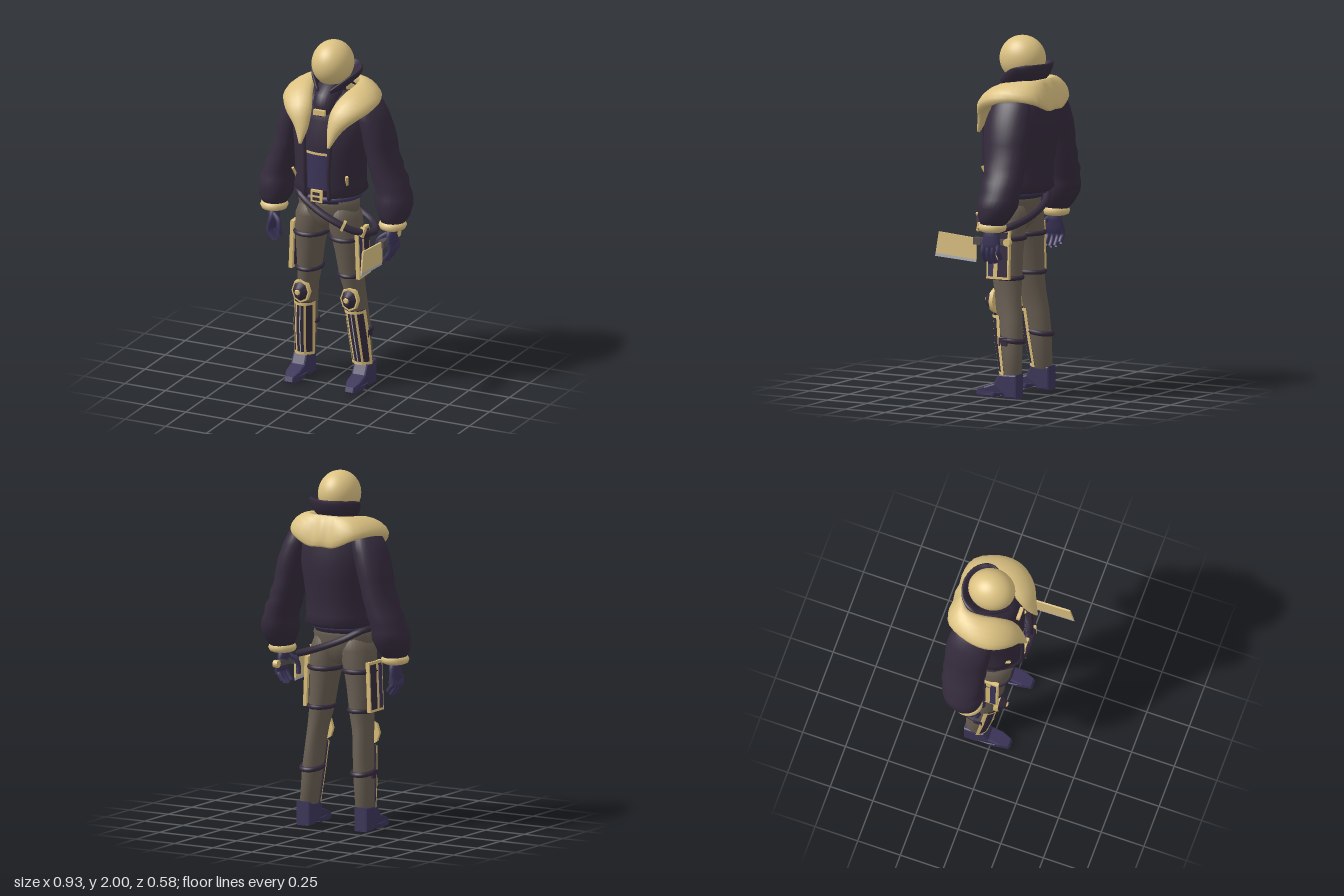
import * as THREE from 'three';

const mat = (name, color, side = THREE.FrontSide) => {
  const m = new THREE.MeshStandardMaterial({ color, side });
  m.name = name;
  return m;
};
const V = (x, y, z) => new THREE.Vector3(x, y, z);
const TAU = Math.PI * 2, FRONT = Math.PI / 2;

// Skin a list of point rings; closed rings get end caps.
function skin(rings, closed = true) {
  const n = rings[0].length, pos = [], idx = [];
  rings.forEach(r => r.forEach(p => pos.push(p.x, p.y, p.z)));
  for (let i = 0; i < rings.length - 1; i++)
    for (let j = 0; j < (closed ? n : n - 1); j++) {
      const a = i * n + j, b = i * n + (j + 1) % n, c = a + n, d = b + n;
      idx.push(a, c, b, b, c, d);
    }
  if (closed) [0, rings.length - 1].forEach((k, end) => {
    const c = rings[k].reduce((s, p) => s.add(p), V(0, 0, 0)).divideScalar(n);
    const ci = pos.length / 3;
    pos.push(c.x, c.y, c.z);
    for (let j = 0; j < n; j++) {
      const a = k * n + j, b = k * n + (j + 1) % n;
      end ? idx.push(ci, b, a) : idx.push(ci, a, b);
    }
  });
  const g = new THREE.BufferGeometry();
  g.setAttribute('position', new THREE.Float32BufferAttribute(pos, 3));
  g.setIndex(idx);
  g.computeVertexNormals();
  return g;
}

// Stack of horizontal ellipses [cx, y, cz, rx, rz], lowest first; an arc range leaves it open.
function loft(sections, s = 1, t0 = 0, t1 = TAU, grow = 0) {
  const closed = t1 - t0 > TAU - 0.001, n = closed ? 28 : Math.max(4, Math.ceil((t1 - t0) * 6));
  return skin(sections.map(([cx, y, cz, rx, rz]) =>
    Array.from({ length: closed ? n : n + 1 }, (_, j) => {
      const t = t0 + (t1 - t0) * j / n;
      return V(s * cx + (rx + grow) * Math.cos(t), y, cz + (rz + grow) * Math.sin(t));
    })), closed);
}

// Mirrored collar: stations of inner point, outer point, half thickness, from left front to back centre.
function collar(stations, steps) {
  const all = [...stations.map(q => [...q]), ...stations.slice(0, -1).reverse()
    .map(q => [-q[0], q[1], q[2], -q[3], q[4], q[5], q[6]])];
  const curve = f => new THREE.CatmullRomCurve3(all.map(f));
  const I = curve(q => V(q[0], q[1], q[2])), O = curve(q => V(q[3], q[4], q[5])), T = curve(q => V(q[6], 0, 0));
  const mid = t => I.getPoint(t).add(O.getPoint(t)).multiplyScalar(0.5);
  return skin(Array.from({ length: steps + 1 }, (_, i) => {
    const t = i / steps, c = mid(t), u = O.getPoint(t).sub(I.getPoint(t)).multiplyScalar(0.5);
    const w = mid(Math.min(1, t + 0.01)).sub(mid(Math.max(0, t - 0.01)));
    const v = u.clone().cross(w).normalize().multiplyScalar(T.getPoint(t).x);
    return Array.from({ length: 14 }, (_, j) => c.clone()
      .addScaledVector(u, Math.cos(j / 14 * TAU)).addScaledVector(v, Math.sin(j / 14 * TAU)));
  }));
}

const tube = (pts, r, closed = false) => new THREE.TubeGeometry(
  new THREE.CatmullRomCurve3(pts.map(p => V(...p)), closed), closed ? 40 : 14, r, 8, closed);
const ring = (cx, y, cz, rx, rz, r, tilt = 0) => tube(Array.from({ length: 12 }, (_, i) => {
  const a = i / 12 * TAU;
  return [cx + rx * Math.cos(a), y + tilt * Math.sin(a), cz + rz * Math.sin(a)];
}), r, true);

// Side outline in (z, y), extruded across x.
function sidePlate(points, width, bevel = 0) {
  const g = new THREE.ExtrudeGeometry(new THREE.Shape(points.map(p => new THREE.Vector2(...p))), {
    depth: width, bevelEnabled: bevel > 0, bevelSize: bevel, bevelThickness: bevel, bevelOffset: -bevel, bevelSegments: 2 });
  return g.translate(0, 0, -width / 2).rotateY(-Math.PI / 2);
}

export function createModel() {
  const root = new THREE.Group();
  root.name = 'figure';
  const tan = mat('tan fur and trim', 0xdcc282), dark = mat('dark jacket', 0x352b3d, THREE.DoubleSide);
  const navy = mat('navy leather', 0x3c3559, THREE.DoubleSide), brown = mat('brown trousers', 0x685e52);
  const trim = mat('tan plate trim', 0xdcc07a, THREE.DoubleSide);
  const silver = mat('silver edge', 0xb4b4bc, THREE.DoubleSide), grey = mat('grey handle', 0x56504f);
  const add = (name, g, m, p = [0, 0, 0], r = [0, 0, 0]) => {
    const o = new THREE.Mesh(g, m);
    o.name = name;
    o.position.set(...p);
    o.rotation.set(...r);
    root.add(o);
    return o;
  };
  const box = (name, w, h, d, m, p, r) => add(name, new THREE.BoxGeometry(w, h, d), m, p, r);

  // Head, neck and collars
  add('head', new THREE.SphereGeometry(1, 40, 28), tan, [0, 1.872, -0.07]).scale.set(0.115, 0.128, 0.132);
  add('neck', loft([[0, 1.58, -0.04, 0.1, 0.13], [0, 1.66, -0.035, 0.085, 0.12], [0, 1.72, -0.04, 0.08, 0.11],
    [0, 1.78, -0.08, 0.07, 0.08]]), dark);
  add('standingCollar', collar([
    [0.03, 1.72, 0.04, 0.045, 1.755, 0.045, 0.008], [0.075, 1.74, -0.03, 0.115, 1.815, -0.04, 0.012],
    [0.085, 1.76, -0.12, 0.15, 1.845, -0.12, 0.014], [0.07, 1.76, -0.175, 0.105, 1.855, -0.2, 0.014],
    [0, 1.76, -0.19, 0, 1.855, -0.235, 0.014]], 36), dark);
  add('furCollar', collar([
    [0.08, 1.455, 0.162, 0.095, 1.455, 0.162, 0.008], [0.06, 1.54, 0.115, 0.14, 1.54, 0.13, 0.032],
    [0.06, 1.64, 0.075, 0.215, 1.61, 0.085, 0.045], [0.09, 1.71, 0.0, 0.268, 1.65, 0.0, 0.05],
    [0.12, 1.745, -0.1, 0.268, 1.665, -0.11, 0.045], [0.115, 1.765, -0.18, 0.2, 1.65, -0.245, 0.035],
    [0.065, 1.77, -0.215, 0.085, 1.6, -0.275, 0.028], [0, 1.77, -0.22, 0, 1.6, -0.275, 0.028]], 48), tan);
  box('neckClasp', 0.07, 0.03, 0.02, trim, [0, 1.63, 0.095]);

  // Shirt with front panel
  const shirt = [[0, 1.1, -0.03, 0.16, 0.14], [0, 1.3, -0.03, 0.16, 0.142], [0, 1.42, -0.03, 0.17, 0.142],
    [0, 1.58, -0.04, 0.16, 0.14], [0, 1.68, -0.06, 0.1, 0.11]];
  add('shirt', loft(shirt), dark);
  add('shirtPanel', loft([[0, 1.18, -0.03, 0.16, 0.141], [0, 1.39, -0.03, 0.168, 0.142]], 1, FRONT - 0.43, FRONT + 0.43, 0.006), navy);
  add('panelTrim', loft([[0, 1.387, -0.03, 0.168, 0.142], [0, 1.402, -0.03, 0.168, 0.142]], 1, FRONT - 0.43, FRONT + 0.43, 0.009), trim);

  // Open jacket
  const jacket = [[0, 1.135, -0.045, 0.185, 0.17], [0, 1.155, -0.047, 0.21, 0.192], [0, 1.2, -0.045, 0.2, 0.19],
    [0, 1.3, -0.046, 0.2, 0.196], [0, 1.4, -0.056, 0.21, 0.203], [0, 1.5, -0.065, 0.225, 0.203],
    [0, 1.6, -0.08, 0.22, 0.18], [0, 1.68, -0.1, 0.18, 0.145], [0, 1.73, -0.11, 0.11, 0.1]];
  const gap = 0.38;
  add('jacket', loft(jacket, 1, FRONT + gap, FRONT + TAU - gap), dark);
  add('waistBelt', ring(0, 1.13, -0.03, 0.175, 0.15, 0.016), navy);
  box('buckle', 0.07, 0.07, 0.015, trim, [0, 1.15, 0.13]);
  [-0.015, 0.015].forEach(y => box('buckleSlot', 0.042, 0.016, 0.006, dark, [0, 1.15 + y, 0.139]));

  // Hips and slung belt
  add('hips', loft([[0, 0.915, -0.03, 0.03, 0.06], [0, 0.96, -0.03, 0.12, 0.1], [0, 1.02, -0.025, 0.175, 0.12],
    [0, 1.08, -0.025, 0.18, 0.125], [0, 1.16, -0.03, 0.17, 0.13]]), brown);
  add('slungBelt', tube([[-0.19, 1.13, -0.03], [-0.12, 1.14, 0.1], [0, 1.07, 0.132], [0.12, 1.01, 0.125], [0.21, 0.965, 0.09],
    [0.285, 0.94, 0.0], [0.24, 0.955, -0.1], [0.1, 1.0, -0.165], [-0.08, 1.07, -0.17], [-0.17, 1.12, -0.12]], 0.02, true), dark);
  [[0.155, 0.993, 0.112, 0.3], [0.245, 0.953, 0.058, 0.9]].forEach(([x, y, z, a]) =>
    box('beltLoop', 0.016, 0.05, 0.046, trim, [x, y, z], [0, a, -0.4]));

  const sleeve = [[0.365, 0.98, -0.08, 0.06, 0.065], [0.365, 1.03, -0.095, 0.09, 0.092], [0.36, 1.09, -0.108, 0.105, 0.116],
    [0.355, 1.14, -0.115, 0.1, 0.116], [0.343, 1.18, -0.12, 0.092, 0.112], [0.328, 1.23, -0.122, 0.096, 0.122],
    [0.312, 1.265, -0.122, 0.086, 0.116], [0.3, 1.31, -0.122, 0.09, 0.124], [0.283, 1.36, -0.122, 0.083, 0.12],
    [0.268, 1.43, -0.12, 0.088, 0.126], [0.25, 1.5, -0.118, 0.09, 0.128], [0.225, 1.58, -0.112, 0.088, 0.125],
    [0.2, 1.65, -0.11, 0.078, 0.11], [0.17, 1.7, -0.11, 0.04, 0.07]];
  const leg = [[0.18, 0.12, -0.097, 0.05, 0.058], [0.165, 0.32, -0.085, 0.054, 0.07], [0.154, 0.45, -0.072, 0.05, 0.077],
    [0.145, 0.55, -0.057, 0.054, 0.077], [0.13, 0.65, -0.045, 0.064, 0.085], [0.12, 0.8, -0.035, 0.078, 0.095],
    [0.11, 0.9, -0.03, 0.09, 0.105], [0.092, 1.0, -0.025, 0.1, 0.115], [0.08, 1.08, -0.025, 0.08, 0.1]];
  const shin = [[0.178, 0.13, -0.097, 0.05, 0.058], [0.168, 0.3, -0.078, 0.054, 0.072], [0.155, 0.46, -0.06, 0.052, 0.075]];
  const bootSide = [[-0.155, 0], [-0.08, 0], [-0.07, 0.018], [-0.02, 0.018], [-0.01, 0], [0.1, 0], [0.11, 0.015],
    [0.1, 0.042], [0.05, 0.06], [-0.01, 0.08], [-0.04, 0.135], [-0.155, 0.135]];

  for (const s of [1, -1]) {
    // Jacket edge and pocket
    add('jacketEdge', tube(jacket.slice(0, 7).map(([, y, cz, rx, rz]) =>
      [s * rx * Math.sin(gap), y, cz + rz * Math.cos(gap)]), 0.013), dark);
    box('pocketTrim', 0.014, 0.085, 0.014, trim, [s * 0.158, 1.24, 0.076], [0.65, s * 0.8, -s * 0.3]);

    // Sleeve, cuff and gloved hand
    add('sleeve', loft(sleeve, s), dark);
    add('furCuff', ring(s * 0.365, 0.975, -0.078, 0.052, 0.055, 0.026), tan);
    add('palm', loft([[0.365, 0.845, -0.07, 0.016, 0.045], [0.368, 0.88, -0.07, 0.024, 0.058],
      [0.36, 0.92, -0.07, 0.027, 0.05], [0.36, 0.97, -0.075, 0.032, 0.036]], s), navy);
    for (let i = 0; i < 4; i++) {
      const z = -0.024 - i * 0.031, drop = [0.01, 0, 0.005, 0.025][i];
      add('finger', tube([[s * 0.37, 0.88, z], [s * 0.375, 0.835, z], [s * 0.362, 0.80 + drop, z],
        [s * 0.342, 0.772 + drop, z]], 0.0135), navy);
    }
    add('thumb', tube([[s * 0.35, 0.93, -0.04], [s * 0.312, 0.9, -0.02], [s * 0.302, 0.865, -0.012], [s * 0.3, 0.82, -0.015]], 0.014), navy);

    // Trouser leg and straps
    add('trouserLeg', loft(leg, s), brown);
    add('upperThighStrap', ring(s * 0.111, 0.885, -0.03, 0.088, 0.104, 0.014), dark);
    add('lowerThighStrap', ring(s * 0.13, 0.665, -0.045, 0.066, 0.086, 0.013), dark);
    add('calfStrap', ring(s * 0.165, 0.325, -0.085, 0.055, 0.072, 0.015, 0.01), dark);
    box('calfBuckle', 0.02, 0.045, 0.05, dark, [s * 0.222, 0.315, -0.07]);

    // Thigh plate
    box('thighPlate', 0.022, 0.28, 0.14, trim, [s * 0.203, 0.8, -0.03], [0, 0, s * 0.04]);
    [0.018, -0.055].forEach((z, i) => box('thighInset', 0.008, 0.25, i ? 0.06 : 0.032, i ? dark : navy,
      [s * 0.213, 0.8, z - 0.005], [0, 0, s * 0.04]));
    box('thighInsetBack', 0.008, 0.25, 0.1, dark, [s * 0.191, 0.8, -0.03], [0, 0, s * 0.04]);

    // Knee pad
    add('kneeRim', new THREE.CylinderGeometry(0.054, 0.058, 0.025, 8).rotateX(Math.PI / 2).scale(1, 1.25, 1), trim, [s * 0.15, 0.53, 0.022]);
    add('kneePad', new THREE.CylinderGeometry(0.022, 0.049, 0.042, 8).rotateX(Math.PI / 2).scale(1, 1.25, 1), dark, [s * 0.15, 0.53, 0.05]);
    add('kneeStud', new THREE.CylinderGeometry(0.012, 0.02, 0.012, 8).rotateX(Math.PI / 2), trim, [s * 0.15, 0.535, 0.073]);

    // Shin guard: dark shell, tan edging, silver lines
    const strip = (name, a, b, grow, m) => add(name, loft(shin, s, FRONT + a, FRONT + b, grow), m);
    strip('shinGuard', -1.3, 1.3, 0.008, dark);
    [-1, 1].forEach(k => {
      strip('shinEdge', k * 1.2 - 0.14, k * 1.2 + 0.14, 0.013, trim);
      strip('shinRib', k * 0.42 - 0.1, k * 0.42 + 0.1, 0.013, trim);
    });
    strip('shinLine', -0.05, 0.05, 0.012, silver);
    [[0.155, 0.45, -0.061, 0.052, 0.075], [0.178, 0.14, -0.097, 0.05, 0.058]].forEach(([x, y, z, rx, rz]) =>
      add('shinBand', loft([[x, y - 0.008, z, rx, rz], [x, y + 0.008, z, rx, rz]], s, FRONT - 1.3, FRONT + 1.3, 0.014), trim));

    // Boot, narrowed at the toe
    const boot = sidePlate(bootSide, 0.068, 0.011), p = boot.attributes.position;
    for (let i = 0; i < p.count; i++) if (p.getZ(i) > 0.07) p.setX(i, p.getX(i) * 0.65);
    boot.computeVertexNormals();
    add('boot', boot, navy, [s * 0.187, 0, 0]);
  }

  // Cleaver in the left hand
  add('cleaverBlade', sidePlate([[0.03, 0.785], [0.285, 0.805], [0.265, 0.925], [0.03, 0.905]], 0.01), tan, [0.35, 0, 0]);
  add('cleaverEdge', sidePlate([[0.03, 0.77], [0.29, 0.787], [0.285, 0.805], [0.03, 0.785]], 0.006), silver, [0.35, 0, 0]);
  box('cleaverBolster', 0.034, 0.04, 0.045, grey, [0.35, 0.89, 0.02]);
  box('cleaverHandle', 0.024, 0.032, 0.17, grey, [0.35, 0.893, -0.08]);
  add('cleaverPommel', new THREE.CylinderGeometry(0.022, 0.022, 0.028, 10).rotateZ(Math.PI / 2), trim, [0.35, 0.893, -0.165]);
  return root;
}
